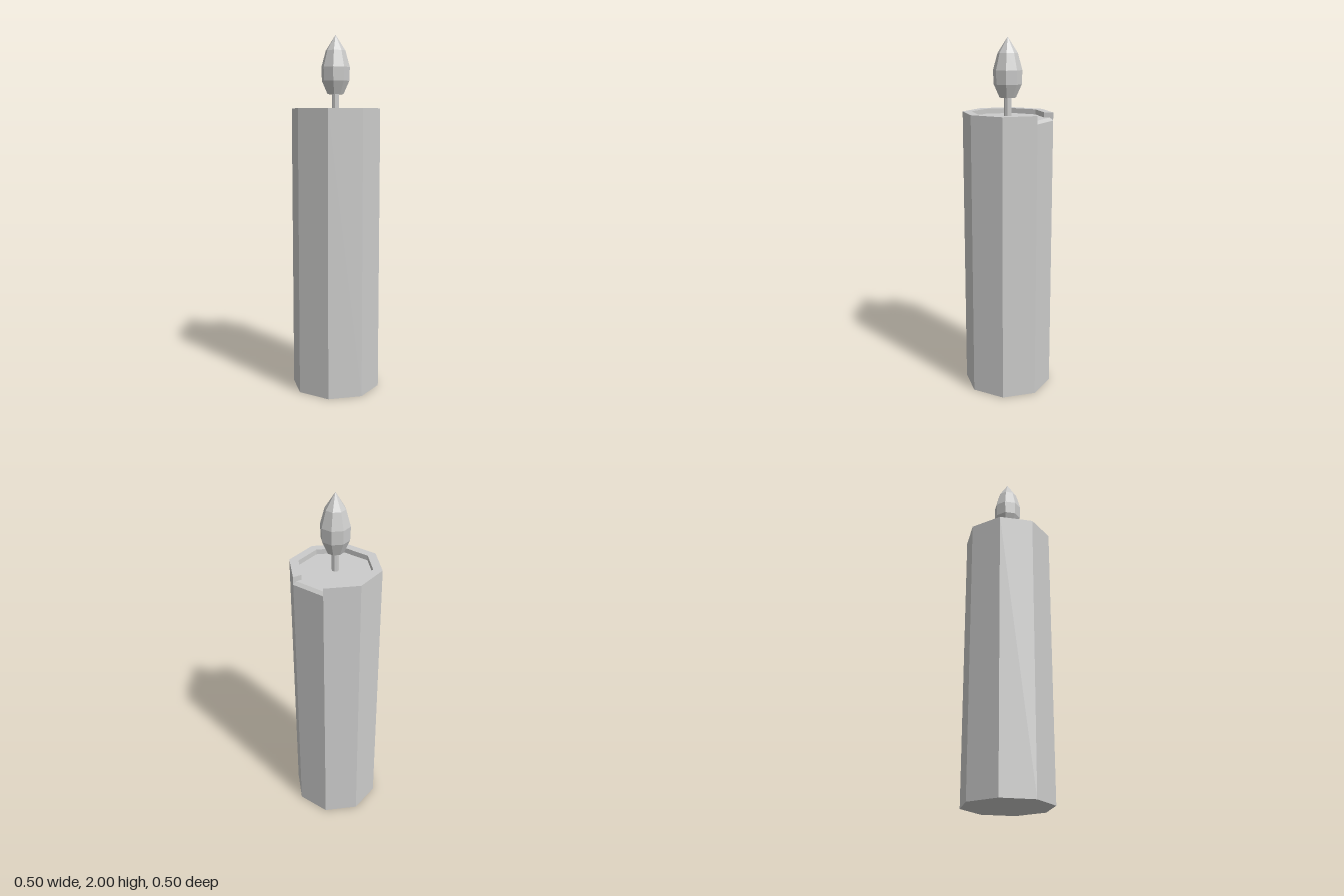
import * as THREE from 'three';

const SIDES = 8;
const FULL = Math.PI * 2;
const STEP = FULL / SIDES;

// Faceted solid of revolution from a bottom-to-top [radius, y] profile
function facetedLathe(name, profile, material, start = 0, sides = SIDES) {
  const points = profile.map(([r, y]) => new THREE.Vector2(r, y));
  const geometry = new THREE.LatheGeometry(points, sides, start, sides * STEP).toNonIndexed();
  geometry.computeVertexNormals();
  const mesh = new THREE.Mesh(geometry, material);
  mesh.name = name;
  return mesh;
}

export function createModel() {
  const model = new THREE.Group();
  model.name = 'candle';
  const wax = new THREE.MeshStandardMaterial({
    name: 'pale grey', color: 0xcccccb, flatShading: true, side: THREE.DoubleSide,
  });

  const R = 0.25, rimR = 0.2, top = 1.6, floor = 1.572, lip = 1.556, lipR = 0.232;

  // Wax column with raised rim, open over one back sector
  const body = new THREE.Group();
  body.name = 'waxBody';
  body.add(facetedLathe('rimmedColumn',
    [[0, 0], [R, 0], [R, top], [rimR, top], [rimR, floor], [0, floor]], wax, Math.PI, SIDES - 1));

  // Melted sector where the rim is missing and the edge slopes outward
  body.add(facetedLathe('meltedSector',
    [[0, 0], [R, 0], [R, lip], [lipR, floor], [0, floor]], wax, Math.PI - STEP, 1));

  // Cut ends of the rim on both sides of the gap
  const cut = new THREE.Shape([[rimR, floor], [lipR, floor], [R, lip], [R, top], [rimR, top]]
    .map(([x, y]) => new THREE.Vector2(x, y)));
  for (const angle of [Math.PI, Math.PI - STEP]) {
    const end = new THREE.Mesh(new THREE.ShapeGeometry(cut), wax);
    end.name = 'rimEnd';
    end.rotation.y = angle - Math.PI / 2;
    body.add(end);
  }
  model.add(body);

  // Wick
  model.add(facetedLathe('wick', [[0.02, floor], [0.02, 1.7]], wax));

  // Flame
  model.add(facetedLathe('flame',
    [[0, 1.678], [0.045, 1.678], [0.077, 1.75], [0.08, 1.825], [0.055, 1.915], [0, 2]], wax));

  return model;
}
